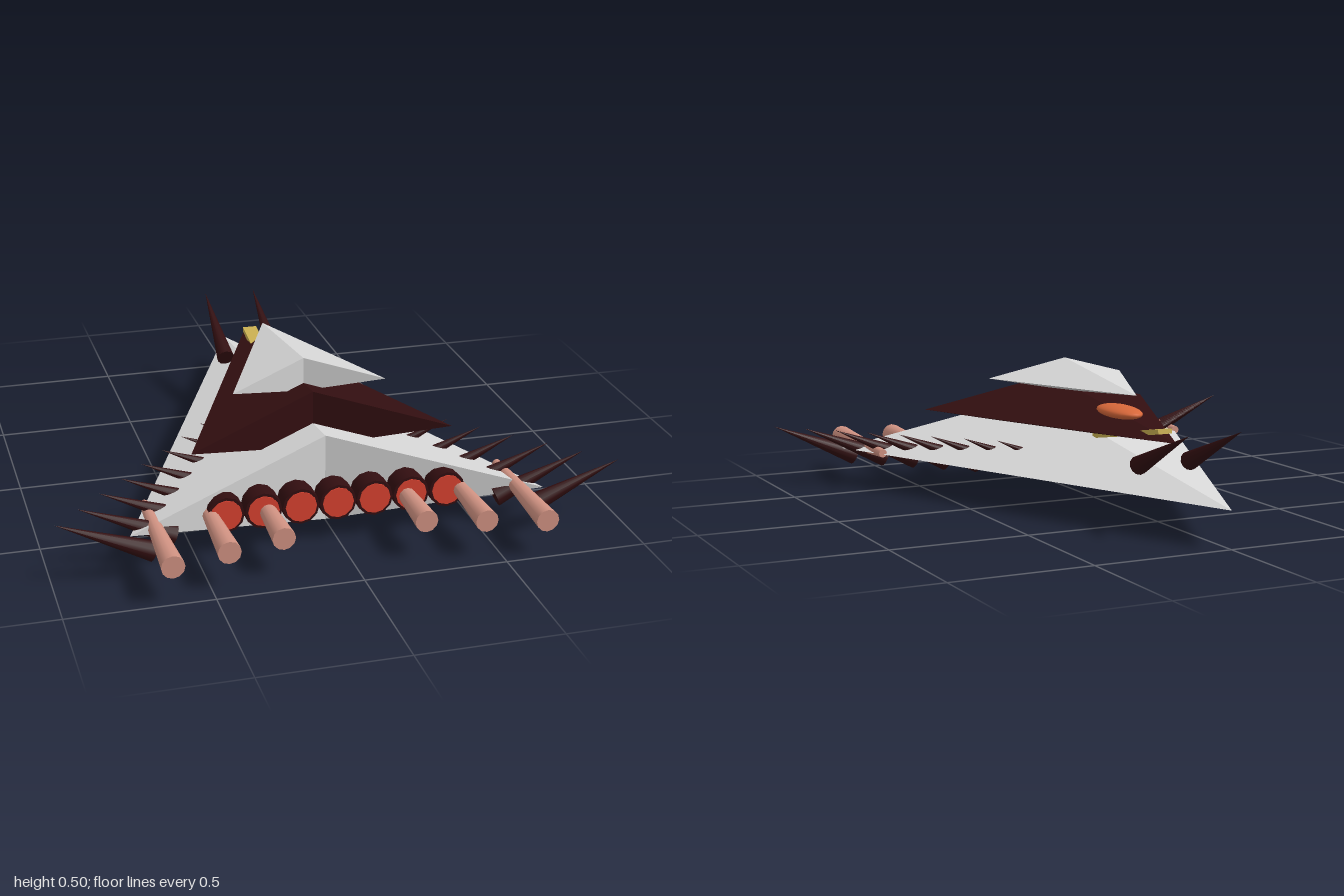
import * as THREE from 'three';

const mat = (name, color) => {
  const m = new THREE.MeshStandardMaterial({ color });
  m.name = name;
  return m;
};

export function createModel() {
  const group = new THREE.Group();
  const grey = mat('hullGrey', 0xd6d6d6);
  const maroon = mat('darkMaroon', 0x320e10);
  const red = mat('engineRed', 0xd84230);
  const pink = mat('cannonPink', 0xd09282);
  const orange = mat('domeOrange', 0xd8683a);
  const gold = mat('barGold', 0xc8ae50);

  const add = (name, geometry, material) => {
    const mesh = new THREE.Mesh(geometry, material);
    mesh.name = name;
    group.add(mesh);
    return mesh;
  };

  // Faceted arrowhead: nose, two wing tips, and a ridge and keel point at the notch
  const arrowhead = (noseZ, halfWidth, tipZ, midY, notchZ, topY, bottomY) => {
    const N = [0, midY, noseZ], L = [halfWidth, midY, tipZ], R = [-halfWidth, midY, tipZ];
    const T = [0, topY, notchZ], B = [0, bottomY, notchZ];
    const faces = [N, T, L, N, R, T, N, L, B, N, B, R, L, T, B, R, B, T];
    const g = new THREE.BufferGeometry();
    g.setAttribute('position', new THREE.Float32BufferAttribute(faces.flat(), 3));
    g.computeVertexNormals();
    return g;
  };

  // Tapered round part between two points
  const taper = (name, from, to, r0, r1, material) => {
    const a = new THREE.Vector3(...from), b = new THREE.Vector3(...to);
    const dir = b.clone().sub(a);
    const mesh = add(name, new THREE.CylinderGeometry(r1, r0, dir.length(), 12), material);
    mesh.position.copy(a).add(b).multiplyScalar(0.5);
    mesh.quaternion.setFromUnitVectors(new THREE.Vector3(0, 1, 0), dir.normalize());
    return mesh;
  };

  // Three stacked decks
  add('lowerHull', arrowhead(-1, 0.73, 0.74, 0.13, 0.53, 0.32, 0), grey);
  add('middleDeck', arrowhead(-0.63, 0.47, 0.51, 0.295, 0.37, 0.42, 0.21), maroon);
  add('upperDeck', arrowhead(-0.34, 0.28, 0.33, 0.425, 0.245, 0.5, 0.375), grey);

  // Row of seven engines with glowing ends
  for (let i = -3; i <= 3; i++) {
    const x = i * 0.131;
    taper('engineCasing', [x, 0.14, 0.61], [x, 0.14, 0.69], 0.065, 0.065, maroon);
    taper('engineGlow', [x, 0.14, 0.687], [x, 0.14, 0.694], 0.055, 0.055, red);
  }

  for (const s of [-1, 1]) {
    // Flared cannons
    for (const [x, z] of [[0.64, 1], [0.443, 0.95], [0.247, 0.9]]) {
      taper('cannon', [s * x, 0.135, z - 0.48], [s * x, 0.135, z], 0.016, 0.04, pink);
    }
    // Spikes running through the wing edge
    for (let i = 0; i < 8; i++) {
      const x = 0.985 - i * 0.0905, z = 0.787 - i * 0.0985;
      taper('wingSpike', [s * (x - 0.323), 0.09, z], [s * x, 0.226, z], 0.036, 0, maroon);
    }
    // Horns above the nose
    taper('noseHorn', [s * 0.1, 0.215, -0.543], [s * 0.1, 0.367, -0.892], 0.034, 0, maroon);
  }

  // Flattened dome on the middle deck
  const dome = add('dome', new THREE.SphereGeometry(1, 24, 16), orange);
  dome.scale.set(0.062, 0.024, 0.137);
  dome.position.set(0, 0.352, -0.208);

  // Tilted bar passing through the middle deck
  const bar = add('noseBar', new THREE.BoxGeometry(0.054, 0.018, 0.51), gold);
  bar.position.set(0, 0.284, -0.297);
  bar.rotation.x = Math.atan(0.17);

  return group;
}
